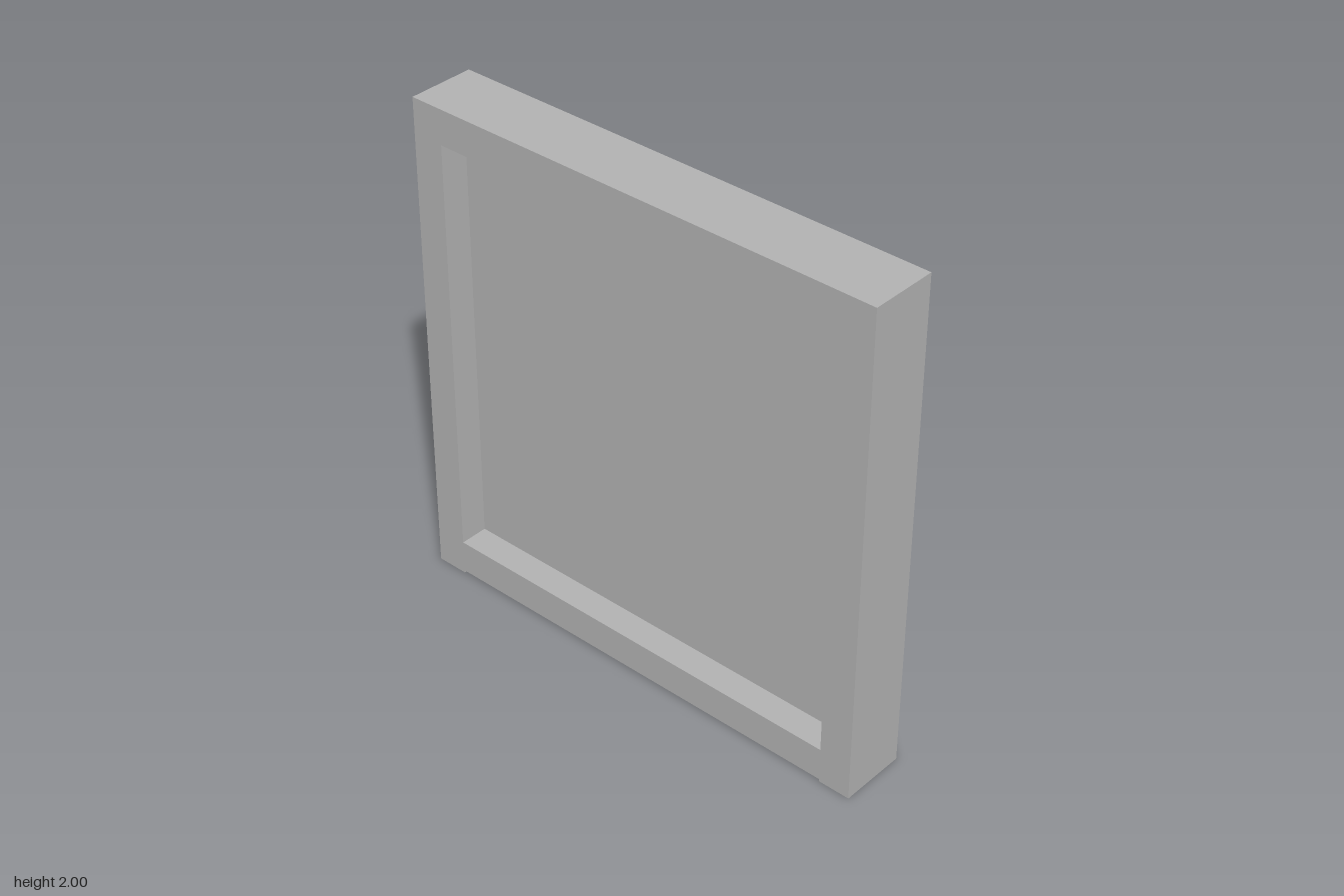
import * as THREE from 'three';

export function createModel() {
  const group = new THREE.Group();
  group.name = 'framedPanel';

  const grey = new THREE.MeshStandardMaterial({ color: 0xb2b2b2 });
  grey.name = 'grey';

  const depth = 0.27;
  const innerX = 0.87; // half width of the opening

  // Box given by its x range, y range and thickness, centred on z
  const addBox = (name, x0, x1, y0, y1, thickness) => {
    const mesh = new THREE.Mesh(new THREE.BoxGeometry(x1 - x0, y1 - y0, thickness), grey);
    mesh.position.set((x0 + x1) / 2, (y0 + y1) / 2, 0);
    mesh.name = name;
    group.add(mesh);
  };

  // Upright stiles, full height
  addBox('leftStile', innerX, 1, 0, 2, depth);
  addBox('rightStile', -1, -innerX, 0, 2, depth);

  // Rails between the stiles; the bottom one sits just off the ground
  addBox('topRail', -innerX, innerX, 1.86, 2, depth);
  addBox('bottomRail', -innerX, innerX, 0.01, 0.145, depth);

  // Thin panel recessed equally on both sides, held in the frame
  addBox('panel', -innerX - 0.03, innerX + 0.03, 0.1, 1.9, 0.04);

  return group;
}
